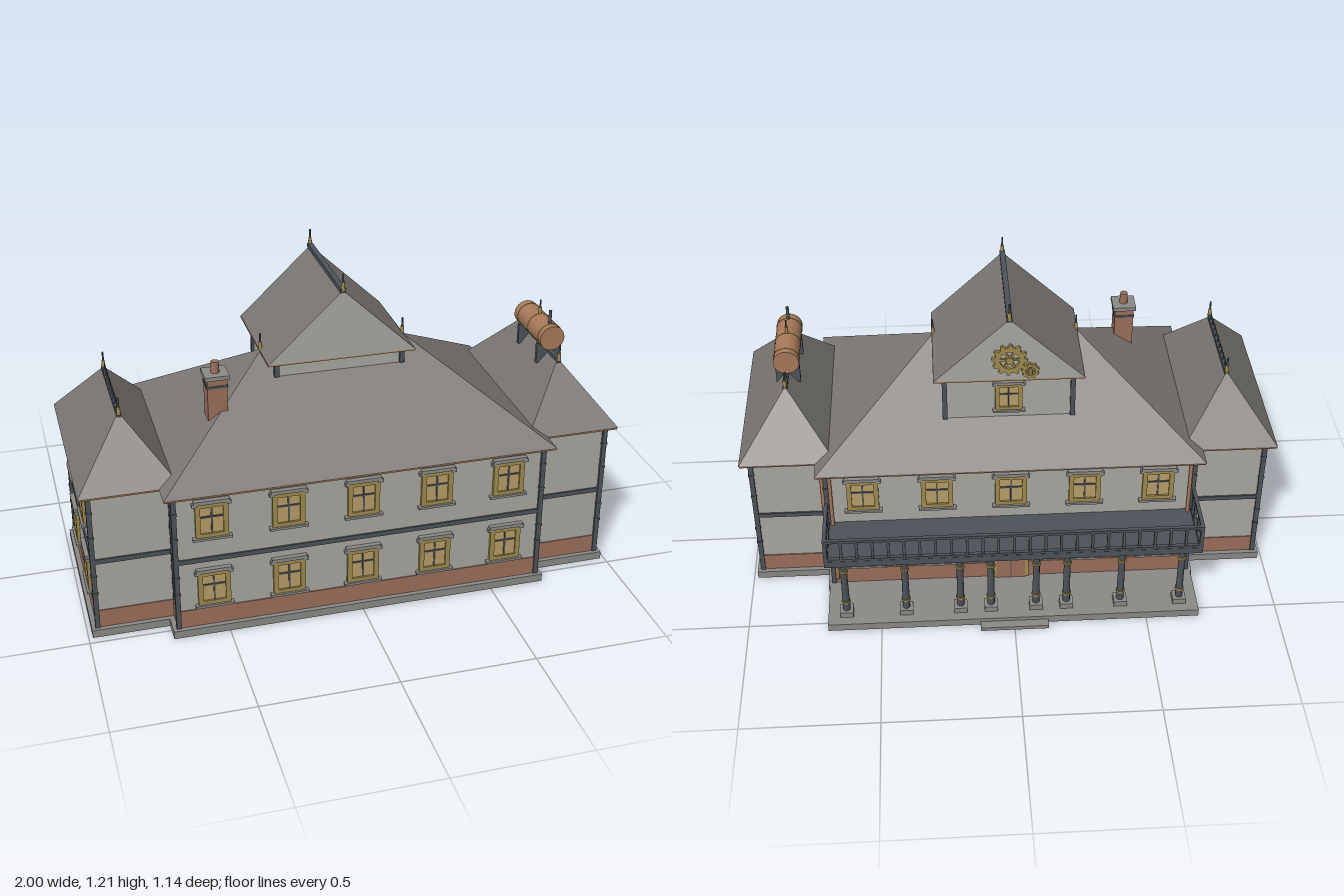
import * as THREE from 'three';

const mat = (color, flatShading = false) => new THREE.MeshStandardMaterial({ color, flatShading });
const WALL = mat(0xaaa8a1), ROOF = mat(0x7a7673, true), SLATE = mat(0x4c5359), STONE = mat(0x8b8a87);
const BRICK = mat(0x9c6f5c), COPPER = mat(0xa9795a), GOLD = mat(0xa08c4e), GLASS = mat(0xb89f67);

function add(parent, name, geometry, material, x = 0, y = 0, z = 0) {
  const mesh = new THREE.Mesh(geometry, material);
  mesh.name = name;
  mesh.position.set(x, y, z);
  parent.add(mesh);
  return mesh;
}

// Box given by its x, y and z ranges
const block = (parent, name, material, [x0, x1], [y0, y1], [z0, z1]) =>
  add(parent, name, new THREE.BoxGeometry(x1 - x0, y1 - y0, z1 - z0), material,
    (x0 + x1) / 2, (y0 + y1) / 2, (z0 + z1) / 2);

// Upright cylinder standing on y
const rod = (parent, name, material, r, h, x, y, z, rTop = r, sides = 10) =>
  add(parent, name, new THREE.CylinderGeometry(rTop, r, h, sides), material, x, y + h / 2, z);

function group(parent, name, x = 0, y = 0, z = 0, turn = 0) {
  const g = new THREE.Group();
  g.name = name;
  g.position.set(x, y, z);
  g.rotation.y = turn;
  parent.add(g);
  return g;
}

// Hip roof: a box whose top is drawn in to a narrow ridge
function hipRoof(parent, name, [x0, x1], [z0, z1], y0, y1, ridgeW, ridgeD) {
  const geo = new THREE.BoxGeometry(x1 - x0, y1 - y0, z1 - z0);
  const p = geo.attributes.position;
  for (let i = 0; i < p.count; i++) {
    if (p.getY(i) > 0) {
      p.setX(i, Math.sign(p.getX(i)) * ridgeW / 2);
      p.setZ(i, Math.sign(p.getZ(i)) * ridgeD / 2);
    }
  }
  const cx = (x0 + x1) / 2, cz = (z0 + z1) / 2;
  add(parent, name, geo, ROOF, cx, (y0 + y1) / 2, cz);
  block(parent, name + 'Gutter', COPPER, [x0 + 0.003, x1 - 0.003], [y0 - 0.008, y0], [z0 + 0.003, z1 - 0.003]);
}

function finial(parent, x, y, z) {
  const g = group(parent, 'finial', x, y, z);
  rod(g, 'finialBase', GOLD, 0.008, 0.03, 0, 0, 0, 0.006);
  rod(g, 'finialSpike', SLATE, 0.004, 0.034, 0, 0.03, 0, 0.003);
}

// Framed window facing +z before turning, placed by its centre
function windowUnit(parent, x, y, z, turn = 0, s = 1) {
  const g = group(parent, 'window', x, y, z, turn);
  g.scale.set(s, s, 1);
  for (const k of [-1, 1]) {
    block(g, 'jamb', GOLD, [k * 0.05 - 0.009, k * 0.05 + 0.009], [-0.068, 0.068], [0, 0.012]);
    block(g, 'frameRail', GOLD, [-0.042, 0.042], [k * 0.06 - 0.008, k * 0.06 + 0.008], [0, 0.012]);
    block(g, 'lintelEnd', STONE, [k * 0.061 - 0.009, k * 0.061 + 0.009], [0.06, 0.072], [0, 0.016]);
  }
  block(g, 'pane', GLASS, [-0.042, 0.042], [-0.053, 0.053], [0, 0.005]);
  block(g, 'mullion', SLATE, [-0.003, 0.003], [-0.053, 0.053], [0, 0.009]);
  block(g, 'transom', SLATE, [-0.042, 0.042], [0.01, 0.016], [0, 0.009]);
  block(g, 'lintel', STONE, [-0.064, 0.064], [0.068, 0.082], [0, 0.018]);
  block(g, 'sill', STONE, [-0.07, 0.07], [-0.076, -0.067], [0, 0.02]);
}

// Storeyed block: plinth, brick course, walls, belt and corner posts
function storeys(parent, name, [x0, x1], [z0, z1]) {
  const g = group(parent, name);
  const grow = (y, m, e, n) => block(g, n, m, [x0 - e, x1 + e], y, [z0 - e, z1 + e]);
  grow([0, 0.03], STONE, 0.022, 'plinth');
  grow([0.03, 0.1], BRICK, 0.004, 'brickCourse');
  grow([0.1, 0.58], WALL, 0, 'walls');
  grow([0.296, 0.314], SLATE, 0.006, 'belt');
  grow([0.565, 0.58], SLATE, 0.005, 'cornice');
  for (const x of [x0, x1]) for (const z of [z0, z1]) {
    block(g, 'cornerPost', SLATE, [x - 0.009, x + 0.009], [0.03, 0.575], [z - 0.009, z + 0.009]);
    for (const y of [0.17, 0.24, 0.4, 0.5]) {
      block(g, 'postCollar', SLATE, [x - 0.011, x + 0.011], [y, y + 0.008], [z - 0.011, z + 0.011]);
    }
  }
}

function gear(parent, x, y, z, r, teeth) {
  const shape = new THREE.Shape();
  for (let i = 0; i < teeth * 4; i++) {
    const a = (i / (teeth * 4)) * Math.PI * 2, q = i % 4 < 2 ? r : r * 0.82;
    shape[i ? 'lineTo' : 'moveTo'](q * Math.cos(a), q * Math.sin(a));
  }
  shape.holes.push(new THREE.Path().absarc(0, 0, r * 0.55, 0, Math.PI * 2, true));
  const g = group(parent, 'gear', x, y, z);
  add(g, 'gearRim', new THREE.ExtrudeGeometry(shape, { depth: 0.012, bevelEnabled: false }), GOLD, 0, 0, -0.012);
  for (let i = 0; i < 3; i++) {
    const spoke = add(g, 'gearSpoke', new THREE.BoxGeometry(r * 1.2, r * 0.13, 0.008), GOLD, 0, 0, -0.006);
    spoke.rotation.z = i * Math.PI / 3;
  }
  add(g, 'gearHub', new THREE.CylinderGeometry(r * 0.22, r * 0.22, 0.02, 12), GOLD, 0, 0, -0.008).rotation.x = Math.PI / 2;
}

export function createModel() {
  const house = new THREE.Group();
  house.name = 'house';

  // Main block and wings
  storeys(house, 'mainBlock', [-0.683, 0.683], [-0.305, 0.532]);
  hipRoof(house, 'mainRoof', [-0.72, 0.72], [-0.34, 0.57], 0.58, 0.892, 0.54, 0.006);
  for (const s of [-1, 1]) {
    storeys(house, 'wing', [s * 0.82 - 0.143, s * 0.82 + 0.143], [-0.213, 0.448]);
    hipRoof(house, 'wingRoof', [s * 0.82 - 0.18, s * 0.82 + 0.18], [-0.26, 0.482], 0.58, 0.8, 0.006, 0.38);
    block(house, 'wingRidge', SLATE, [s * 0.82 - 0.008, s * 0.82 + 0.008], [0.79, 0.806], [-0.08, 0.31]);
    for (const z of [-0.073, 0.31]) finial(house, s * 0.82, 0.8, z);
    finial(house, s * 0.27, 0.89, 0.112);
    for (const z of [-0.045, 0.285]) for (const y of [0.187, 0.467]) {
      windowUnit(house, s * 0.963, y, z, s * Math.PI / 2);
    }
    for (const [x, z] of [[0.705, -0.226], [0.668, -0.318]]) {
      rod(house, 'downpipe', COPPER, 0.007, 0.52, s * x, 0.06, z);
    }
  }
  for (const x of [-0.55, -0.275, 0, 0.275, 0.55]) for (const y of [0.187, 0.467]) {
    windowUnit(house, x, y, 0.532);
    if (x || y > 0.3) windowUnit(house, x, y, -0.305, Math.PI);
  }

  // Cresting spikes on the right wing ridge
  for (let i = 0; i < 9; i++) rod(house, 'crestSpike', SLATE, 0.005, 0.032, -0.82, 0.804, -0.035 + i * 0.0385, 0.001, 6);
  rod(house, 'crestSpike', SLATE, 0.005, 0.032, 0.82, 0.804, -0.025, 0.001, 6);

  // Dormer with gabled roof
  const dormer = group(house, 'dormer');
  block(dormer, 'dormerWalls', WALL, [-0.235, 0.235], [0.66, 0.89], [-0.165, 0.215]);
  block(dormer, 'dormerCornice', SLATE, [-0.24, 0.24], [0.872, 0.89], [-0.17, 0.22]);
  for (const x of [-0.235, 0.235]) {
    block(dormer, 'dormerPost', SLATE, [x - 0.009, x + 0.009], [0.7, 0.89], [-0.174, -0.156]);
    block(dormer, 'dormerPost', SLATE, [x - 0.009, x + 0.009], [0.826, 0.89], [0.206, 0.224]);
  }
  const gable = new THREE.Shape([[-0.275, 0.89], [0.275, 0.89], [0, 1.15]].map(p => new THREE.Vector2(...p)));
  add(dormer, 'gableRoof', new THREE.ExtrudeGeometry(gable, { depth: 0.455, bevelEnabled: false }), [WALL, ROOF], 0, 0, -0.2);
  block(dormer, 'gableEave', COPPER, [-0.275, 0.275], [0.885, 0.891], [-0.2, 0.255]);
  block(dormer, 'gableRidge', SLATE, [-0.01, 0.01], [1.142, 1.158], [-0.205, 0.26]);
  for (const z of [-0.2, 0.255]) finial(dormer, 0, 1.15, z);
  windowUnit(dormer, 0, 0.795, -0.165, Math.PI, 0.85);
  gear(dormer, 0, 0.985, -0.203, 0.065, 12);
  gear(dormer, -0.075, 0.935, -0.203, 0.033, 9);

  // Chimney
  const chimney = group(house, 'chimney', -0.47, 0, 0.272);
  block(chimney, 'chimneyStack', BRICK, [-0.036, 0.036], [0.68, 0.886], [-0.036, 0.036]);
  block(chimney, 'chimneyBand', SLATE, [-0.039, 0.039], [0.853, 0.862], [-0.039, 0.039]);
  block(chimney, 'chimneyCap', STONE, [-0.044, 0.044], [0.886, 0.901], [-0.044, 0.044]);
  rod(chimney, 'chimneyPot', BRICK, 0.016, 0.042, 0, 0.901, 0, 0.014, 12);

  // Water tank on the left wing ridge
  const tank = group(house, 'tank', 0.815, 0.863, 0.12);
  const drum = (name, m, r, len, z) =>
    add(tank, name, new THREE.CylinderGeometry(r, r, len, 24), m, 0, 0, z).rotation.x = Math.PI / 2;
  drum('tankBody', COPPER, 0.048, 0.258, 0);
  for (const z of [-0.1, 0, 0.1]) drum('tankBand', GOLD, 0.0495, 0.007, z);
  for (const z of [-0.09, 0.09]) {
    block(tank, 'tankSaddle', SLATE, [-0.045, 0.045], [-0.11, -0.03], [z - 0.007, z + 0.007]);
  }
  rod(tank, 'tankValve', GOLD, 0.006, 0.03, 0, 0.045, 0);
  rod(tank, 'tankValveStem', SLATE, 0.003, 0.028, 0, 0.075, 0);
  rod(tank, 'tankVent', SLATE, 0.006, 0.055, 0, 0.045, 0.095);

  // Back porch, columns and balcony
  const porch = group(house, 'porch');
  block(porch, 'porchFloor', STONE, [-0.7, 0.7], [0, 0.03], [-0.54, -0.3]);
  block(porch, 'porchStep', STONE, [-0.128, 0.128], [0, 0.015], [-0.574, -0.53]);
  block(porch, 'balconyDeck', SLATE, [-0.695, 0.695], [0.308, 0.335], [-0.525, -0.3]);
  for (const s of [-1, 1]) for (const a of [0.63, 0.405, 0.2, 0.085]) {
    const column = group(porch, 'column', s * a, 0, -0.478);
    block(column, 'columnFoot', STONE, [-0.025, 0.025], [0.03, 0.053], [-0.025, 0.025]);
    rod(column, 'columnShaft', SLATE, 0.014, 0.235, 0, 0.05, 0, 0.012, 12);
    for (const y of [0.088, 0.243]) rod(column, 'columnRing', GOLD, 0.017, 0.009, 0, y, 0, 0.017, 12);
    rod(column, 'columnCapital', GOLD, 0.014, 0.018, 0, 0.278, 0, 0.025, 12);
    block(column, 'columnAbacus', GOLD, [-0.026, 0.026], [0.295, 0.309], [-0.026, 0.026]);
  }
  const baluster = (x, z, t = 0.004) =>
    block(porch, 'baluster', SLATE, [x - t, x + t], [0.33, 0.425], [z - t, z + t]);
  for (const [y0, y1] of [[0.335, 0.345], [0.422, 0.433]]) {
    block(porch, 'backRail', SLATE, [-0.695, 0.695], [y0, y1], [-0.524, -0.51]);
    for (const s of [-1, 1]) block(porch, 'sideRail', SLATE, [s * 0.688 - 0.007, s * 0.688 + 0.007], [y0, y1], [-0.52, -0.31]);
  }
  for (let i = 0; i <= 24; i++) baluster(-0.688 + i * 1.376 / 24, -0.517, i % 24 ? 0.005 : 0.007);
  for (const x of [-0.688, 0.688]) for (const z of [-0.325, -0.37, -0.442]) baluster(x, z, 0.005);

  // Entrance door with lanterns
  const door = group(house, 'entrance', 0, 0, -0.305, Math.PI);
  block(door, 'doorFrame', GOLD, [-0.068, 0.068], [0.03, 0.262], [0, 0.01]);
  block(door, 'doorLeaf', BRICK, [-0.054, 0.054], [0.03, 0.248], [0, 0.014]);
  block(door, 'doorSplit', SLATE, [-0.002, 0.002], [0.03, 0.248], [0, 0.016]);
  for (const x of [-0.11, 0.11]) {
    block(door, 'lanternArm', SLATE, [x - 0.004, x + 0.004], [0.235, 0.242], [0, 0.03]);
    block(door, 'lantern', GLASS, [x - 0.009, x + 0.009], [0.203, 0.235], [0.012, 0.03]);
  }
  return house;
}
